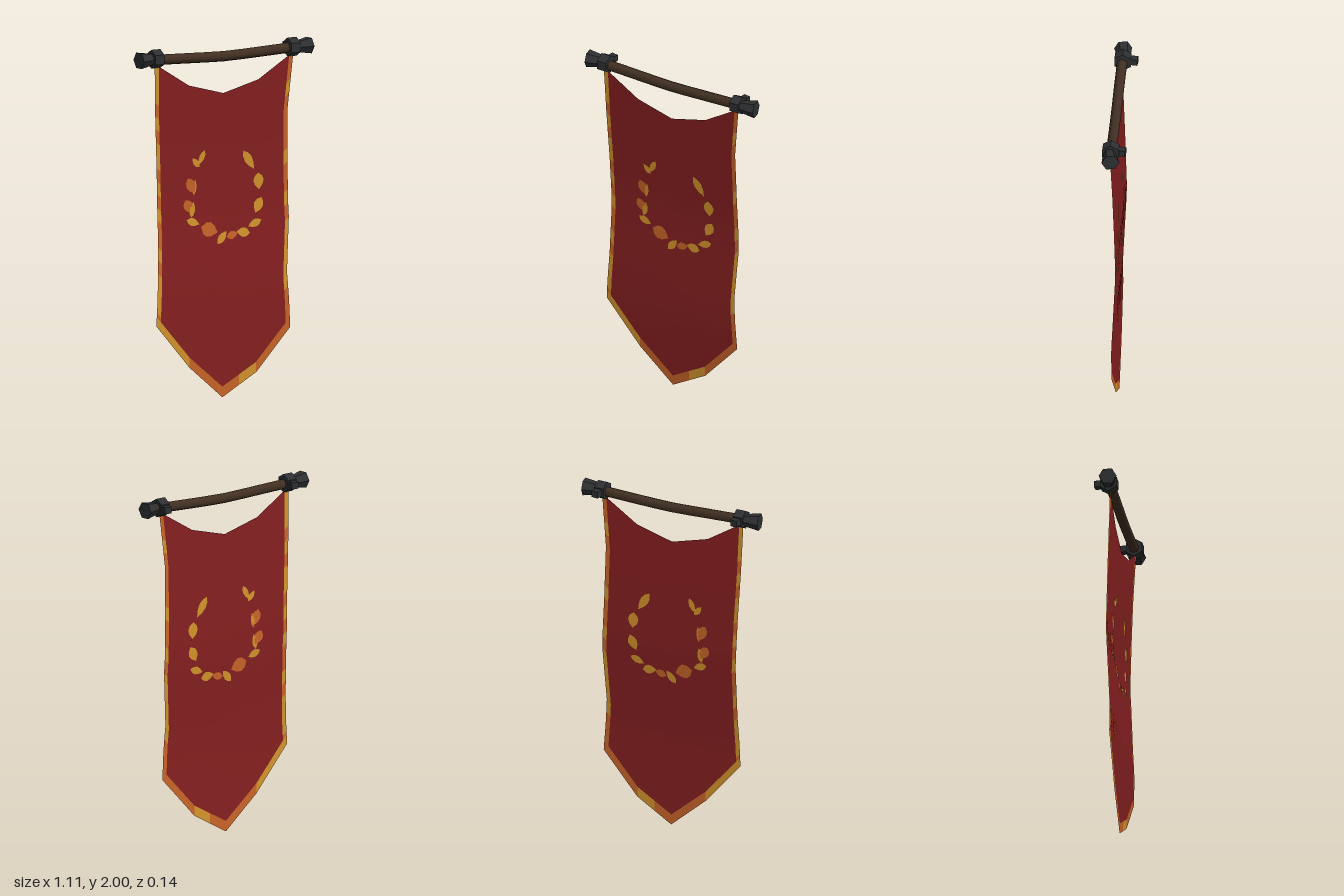
import * as THREE from 'three';

const mat = (name, color, side = THREE.FrontSide) => {
  const m = new THREE.MeshStandardMaterial({ color, side });
  m.name = name;
  return m;
};

// piecewise linear lookup through [position, value] pairs in rising order
function lerpTable(table, t) {
  if (t <= table[0][0]) return table[0][1];
  for (let i = 1; i < table.length; i++) {
    const [a, va] = table[i - 1], [b, vb] = table[i];
    if (t <= b) return va + (vb - va) * (t - a) / (b - a);
  }
  return table[table.length - 1][1];
}

// cloth outline: u runs left to right, v runs top to bottom
const topEdge = [[0, 1.92], [0.25, 1.78], [0.5, 1.72], [0.75, 1.78], [1, 1.92]];
const bottomEdge = [[0, 0.44], [0.25, 0.19], [0.5, 0.005], [0.75, 0.13], [1, 0.37]];
const leftEdge = [[0, -0.445], [0.2, -0.435], [0.4, -0.42], [0.6, -0.41], [0.8, -0.415], [1, -0.43]];
const rightEdge = [[0, 0.44], [0.2, 0.41], [0.4, 0.415], [0.6, 0.425], [0.8, 0.405], [1, 0.425]];
// gentle wave of the cloth by height
const wave = [[0, 0], [0.55, 0.015], [1.08, -0.01], [1.4, 0], [1.92, 0.02]];

function clothPoint(u, v) {
  const y = THREE.MathUtils.lerp(lerpTable(topEdge, u), lerpTable(bottomEdge, u), v);
  const x = THREE.MathUtils.lerp(lerpTable(leftEdge, v), lerpTable(rightEdge, v), u);
  return [x, y, lerpTable(wave, y)];
}

// cloth grid whose outer cells are the trim; groups: 0 red, 1 gold, 2 orange
function clothGeometry() {
  const us = [0, 0.03, 0.14, 0.25, 0.375, 0.5, 0.625, 0.75, 0.86, 0.97, 1];
  const vs = [];
  for (let i = 0; i < 20; i++) vs.push(i / 20);
  vs.push(0.965, 1);
  const leftTrim = [1, 1, 1, 2, 1, 2, 1, 1, 2, 1, 2, 1, 2, 2, 1, 2, 1, 1, 1, 2, 2];
  const rightTrim = [2, 2, 1, 2, 2, 2, 2, 1, 2, 2, 1, 2, 1, 1, 1, 1, 1, 2, 2, 2, 2];
  const bottomTrim = [1, 1, 1, 2, 2, 2, 1, 2, 2, 2];
  const pos = [], lists = [[], [], []], n = us.length;
  for (const v of vs) for (const u of us) pos.push(...clothPoint(u, v));
  for (let j = 0; j < vs.length - 1; j++) {
    for (let i = 0; i < n - 1; i++) {
      let k = 0;
      if (j === vs.length - 2) k = bottomTrim[i];
      else if (i === 0) k = leftTrim[j];
      else if (i === n - 2) k = rightTrim[j];
      const a = j * n + i, c = a + n;
      lists[k].push(a, c, c + 1, a, c + 1, a + 1);
    }
  }
  const g = new THREE.BufferGeometry();
  g.setAttribute('position', new THREE.Float32BufferAttribute(pos, 3));
  g.setIndex(lists.flat());
  let start = 0;
  lists.forEach((l, k) => { g.addGroup(start, l.length, k); start += l.length; });
  g.computeVertexNormals();
  return g;
}

// pointed leaf laid on the cloth wave, slightly in front (side 1) or behind (side -1)
function leafGeometry([x, y, length, width, degrees], side) {
  const s = new THREE.Shape();
  s.moveTo(-length / 2, 0);
  s.quadraticCurveTo(-length * 0.1, -width, length / 2, 0);
  s.quadraticCurveTo(-length * 0.1, width, -length / 2, 0);
  const g = new THREE.ShapeGeometry(s, 4);
  g.rotateZ(THREE.MathUtils.degToRad(degrees));
  g.translate(x, y, 0);
  const p = g.attributes.position;
  for (let i = 0; i < p.count; i++) p.setZ(i, lerpTable(wave, p.getY(i)) + side * 0.004);
  g.computeVertexNormals();
  return g;
}

export function createModel() {
  const model = new THREE.Group();
  model.name = 'hangingBanner';
  const red = mat('redCloth', 0x851f20, THREE.DoubleSide);
  const gold = mat('gold', 0xd2932b, THREE.DoubleSide);
  const orange = mat('orange', 0xc86428, THREE.DoubleSide);
  const wood = mat('darkWood', 0x423022);
  const iron = mat('iron', 0x2d2f31);
  iron.flatShading = true;

  const add = (name, geometry, material, parent = model) => {
    const m = new THREE.Mesh(geometry, material);
    m.name = name;
    parent.add(m);
    return m;
  };

  add('cloth', clothGeometry(), [red, gold, orange]);

  // wreath leaves: x, y, length, width, angle, material
  const wreath = new THREE.Group();
  wreath.name = 'wreath';
  model.add(wreath);
  const leaves = [
    [-0.135, 1.365, 0.09, 0.035, 245, gold],
    [-0.172, 1.34, 0.07, 0.035, 130, gold],
    [-0.2, 1.21, 0.1, 0.06, -65, orange],
    [-0.178, 1.2, 0.09, 0.025, 85, gold],
    [-0.215, 1.095, 0.085, 0.06, -60, orange],
    [-0.19, 1.075, 0.09, 0.035, 80, gold],
    [-0.188, 1.005, 0.085, 0.045, -20, gold],
    [-0.085, 0.955, 0.11, 0.085, -20, orange],
    [-0.005, 0.905, 0.09, 0.045, 50, gold],
    [0.06, 0.915, 0.075, 0.045, 15, orange],
    [0.13, 0.925, 0.085, 0.055, 170, gold],
    [0.205, 0.97, 0.09, 0.045, 200, gold],
    [0.23, 1.07, 0.095, 0.06, 245, gold],
    [0.23, 1.205, 0.095, 0.065, -85, gold],
    [0.165, 1.33, 0.13, 0.05, -57, gold],
  ];
  for (const leaf of leaves)
    for (const side of [1, -1]) add('leaf', leafGeometry(leaf, side), leaf[5], wreath);

  // sagging wooden rod
  const rodPath = new THREE.CatmullRomCurve3([
    new THREE.Vector3(-0.47, 1.943, 0.018),
    new THREE.Vector3(-0.2, 1.934, 0.017),
    new THREE.Vector3(0, 1.928, 0.015),
    new THREE.Vector3(0.2, 1.934, 0.013),
    new THREE.Vector3(0.47, 1.945, 0.012),
  ]);
  add('rod', new THREE.TubeGeometry(rodPath, 8, 0.029, 8), wood);

  // iron clamp, wall bolt and flared finial at each end
  for (const s of [-1, 1]) {
    const clamp = new THREE.CylinderGeometry(0.053, 0.053, 0.058, 6);
    clamp.rotateY(Math.PI / 2);
    clamp.rotateZ(Math.PI / 2);
    // turn a corner of the hexagon to the top
    clamp.rotateX(Math.PI / 6);
    clamp.computeBoundingBox();
    if (clamp.boundingBox.max.y < 0.05) clamp.rotateX(Math.PI / 6);
    add('clamp', clamp, iron).position.set(s * 0.434, 1.947, 0.014);

    const bolt = add('wallBolt', new THREE.BoxGeometry(0.04, 0.038, 0.05), iron);
    bolt.position.set(s * 0.434 + 0.004, 1.948, -0.044);
    bolt.rotation.y = -0.12;

    const finial = new THREE.CylinderGeometry(0.05, 0.032, 0.1, 6);
    finial.rotateZ(-s * Math.PI / 2);
    const f = add('finial', finial, iron);
    f.position.set(s * 0.497, 1.946, 0.015);
    f.rotation.y = 0.15;
  }
  return model;
}
